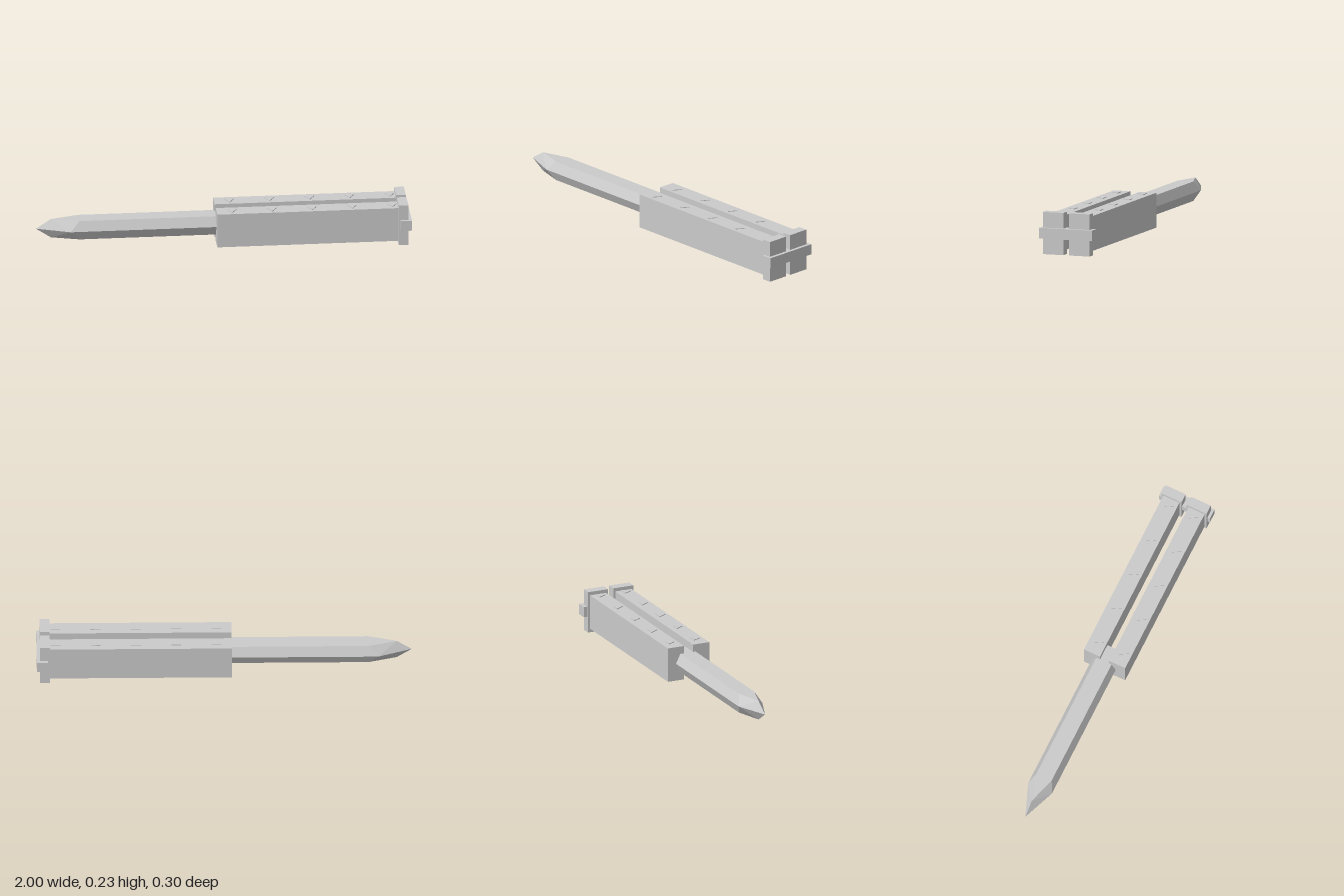
import * as THREE from 'three';

const material = new THREE.MeshStandardMaterial({ color: 0xcccccc, flatShading: true });

function addMesh(parent, name, geometry, x, y, z) {
  const mesh = new THREE.Mesh(geometry, material);
  mesh.name = name;
  mesh.position.set(x, y, z);
  parent.add(mesh);
  return mesh;
}

// Box given by its lower and upper corners
function addBox(parent, name, [x0, y0, z0], [x1, y1, z1]) {
  return addMesh(parent, name, new THREE.BoxGeometry(x1 - x0, y1 - y0, z1 - z0),
    (x0 + x1) / 2, (y0 + y1) / 2, (z0 + z1) / 2);
}

// Six-sided blade: one quadrant mirrored in y and z
function bladeGeometry() {
  const h = 0.0525, flat = 0.045, edge = 0.07, end = 0.05;
  const tip = [-1, 0, 0], flatTip = [-0.92, h, 0], flatCorner = [-0.77, h, flat];
  const shoulder = [-0.82, 0, edge], flatEnd = [end, h, flat], edgeEnd = [end, 0, edge];
  const topEnd = [end, h, 0], centreEnd = [end, 0, 0];
  const triangles = [
    [flatTip, flatCorner, flatEnd], [flatTip, flatEnd, topEnd],
    [tip, shoulder, flatTip], [flatTip, shoulder, flatCorner],
    [shoulder, edgeEnd, flatEnd], [shoulder, flatEnd, flatCorner],
    [topEnd, flatEnd, edgeEnd], [topEnd, edgeEnd, centreEnd],
  ];
  const positions = [];
  for (const sy of [1, -1]) for (const sz of [1, -1]) {
    for (const [a, b, c] of triangles) {
      const corners = sy * sz > 0 ? [a, b, c] : [a, c, b];
      for (const [x, y, z] of corners) positions.push(x, y * sy, z * sz);
    }
  }
  const geometry = new THREE.BufferGeometry();
  geometry.setAttribute('position', new THREE.Float32BufferAttribute(positions, 3));
  geometry.computeVertexNormals();
  return geometry;
}

export function createModel() {
  const model = new THREE.Group();
  model.name = 'foldingKnife';
  const midZ = 0.004;

  addMesh(model, 'blade', bladeGeometry(), 0, 0.1145, 0);

  // Two handle halves with end caps and triangular studs
  const studGeometry = new THREE.CylinderGeometry(0.03, 0.03, 0.008, 3);
  for (const side of [1, -1]) {
    const handle = new THREE.Group();
    handle.name = side > 0 ? 'frontHandle' : 'backHandle';
    handle.position.z = midZ + side * 0.0745;
    addBox(handle, 'grip', [-0.04, 0.02, -0.0475], [0.95, 0.208, 0.0475]);
    addBox(handle, 'endCap', [0.93, 0, -0.059], [0.982, 0.227, 0.059]);
    for (let i = 0; i < 5; i++) {
      for (const y of [0.208, 0.02]) addMesh(handle, 'stud', studGeometry, 0.042 + i * 0.2145, y, 0);
    }
    model.add(handle);
  }

  // Latch bar across both end caps
  addBox(model, 'latch', [0.94, 0.086, -0.15], [1, 0.143, 0.152]);

  return model;
}
